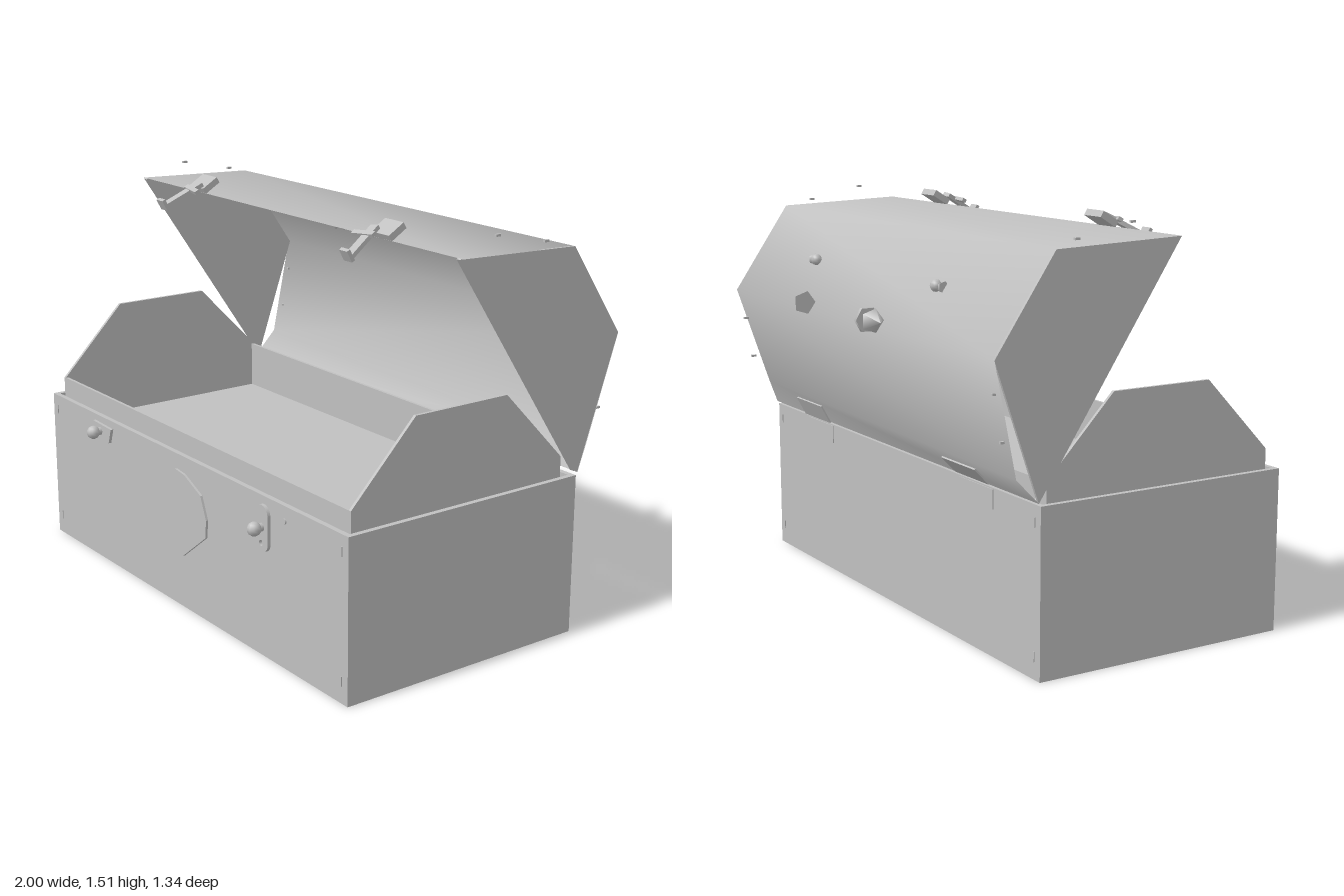
import * as THREE from 'three';

export function createModel() {
  const model = new THREE.Group();
  const metal = new THREE.MeshStandardMaterial({ color: 0xc0c0c0, side: THREE.DoubleSide });
  metal.name = 'grey metal';

  const add = (name, geo, x = 0, y = 0, z = 0, parent = model) => {
    const mesh = new THREE.Mesh(geo, metal);
    mesh.name = name;
    mesh.position.set(x, y, z);
    parent.add(mesh);
    return mesh;
  };
  const box = (name, w, h, d, x, y, z, parent) => add(name, new THREE.BoxGeometry(w, h, d), x, y, z, parent);
  const shapeOf = pts => new THREE.Shape(pts.map(p => new THREE.Vector2(...p)));
  const extrude = (shape, depth) => new THREE.ExtrudeGeometry(shape, { depth, bevelEnabled: false });
  // Upright panel from a (z, y) outline, centred on its own thickness
  const sidePanel = (pts, t) => extrude(shapeOf(pts), t).translate(0, 0, -t / 2).rotateY(-Math.PI / 2);

  // Lower box: four walls and a base
  const rim = shapeOf([[-1, -0.605], [1, -0.605], [1, 0.405], [-1, 0.405]]);
  rim.holes.push(new THREE.Path([[-0.98, -0.585], [-0.98, 0.385], [0.98, 0.385], [0.98, -0.585]]
    .map(p => new THREE.Vector2(...p))));
  add('boxWalls', extrude(rim, 0.6).rotateX(-Math.PI / 2));
  box('boxBase', 1.98, 0.02, 0.99, 0, 0.01, 0.1);

  // Inner tray with tall clipped ends
  const trayEnd = [[0.57, 0.48], [0.57, 0.67], [0.305, 0.943], [-0.095, 0.943], [-0.36, 0.67], [-0.36, 0.48]];
  for (const s of [-1, 1]) add('trayEnd', sidePanel(trayEnd, 0.012), s * 0.96);
  box('trayFront', 1.92, 0.19, 0.012, 0, 0.575, 0.564);
  box('trayBack', 1.92, 0.19, 0.012, 0, 0.575, -0.354);
  box('trayFloor', 1.92, 0.012, 0.93, 0, 0.48, 0.105);

  // Open lid: smooth shell lofted between its two ends, bulging lower down at the right end
  const top = [[0.148, 1.447], [-0.352, 1.43], [-0.582, 1.095]];
  const rightEnd = [...top, [-0.5, 0.7], [-0.412, 0.61]];
  const leftEnd = [...top, [-0.446, 0.7], [-0.412, 0.61]];
  const pos = [], idx = [];
  rightEnd.forEach(([z, y], i) => {
    pos.push(-1, y, z, 1, leftEnd[i][1], leftEnd[i][0]);
    if (i) {
      const a = 2 * i - 2;
      idx.push(a, a + 2, a + 1, a + 1, a + 2, a + 3);
    }
  });
  const shell = new THREE.BufferGeometry();
  shell.setAttribute('position', new THREE.Float32BufferAttribute(pos, 3));
  shell.setIndex(idx);
  // Shell faces outward (up and back)
  shell.setIndex(idx.map((_, i) => idx[i - (i % 3) + [0, 2, 1][i % 3]]));
  shell.computeVertexNormals();
  add('lidShell', shell);
  add('lidRightEnd', sidePanel([...top, [-0.412, 0.61]], 0.01), -0.994);
  add('lidLeftEnd', sidePanel([...top, [-0.412, 0.61]], 0.01), 0.994);

  // Folded edges along the lid opening
  for (const s of [-1, 1]) {
    const edge = box('lidSideEdge', 0.02, 1.0, 0.008, s * 0.98, 1.03, -0.13);
    edge.rotation.x = Math.atan2(0.56, 0.837);
  }

  // Lid latches: block, arm and hooked tip
  for (const s of [-1, 1]) {
    const latch = new THREE.Group();
    latch.name = 'lidLatch';
    const block = box('latchBlock', 0.1, 0.025, 0.075, s * 0.58, 1.475, 0.12, latch);
    block.rotation.x = 0.55;
    const arm = box('latchArm', 0.035, 0.016, 0.17, s * 0.57, 1.445, 0.225, latch);
    arm.rotation.set(0.5, s * 0.25, 0);
    const wing = box('latchWing', 0.1, 0.014, 0.02, s * 0.545, 1.465, 0.2, latch);
    wing.rotation.set(0.5, s * 0.15, 0);
    const hook = box('latchHook', 0.045, 0.045, 0.014, s * 0.59, 1.412, 0.305, latch);
    hook.rotation.x = 0.5;
    model.add(latch);
  }

  // Lid handle mounts: small knobs above, pointed studs below
  for (const s of [-1, 1]) {
    add('handleKnob', new THREE.SphereGeometry(0.022, 8, 6), s * 0.46, 1.265, -0.48);
    const tip = add('handleKnobTip', new THREE.ConeGeometry(0.022, 0.06, 5), s * 0.47, 1.262, -0.472);
    tip.rotation.z = s * Math.PI / 2;
    const stud = add('handleStud', new THREE.ConeGeometry(0.045, 0.06, 5), s * 0.3, 1.13, -0.625);
    stud.rotation.z = -s * Math.PI / 2;
    if (s < 0) stud.rotation.z = Math.PI / 2;
  }
  const disc = add('handleDisc', new THREE.CylinderGeometry(0.047, 0.047, 0.014, 6), -0.23, 1.13, -0.625);
  disc.rotation.z = Math.PI / 2;

  // Front emblem plate
  const plate = [[0, 0.21], [0.158, 0.33], [0.165, 0.4], [0.13, 0.485], [0.02, 0.535],
    [-0.04, 0.542], [-0.125, 0.485], [-0.155, 0.41], [-0.165, 0.34]];
  add('frontPlate', extrude(shapeOf(plate), 0.009), 0, 0, 0.605);

  // Front catches: tapered plate on the right, rounded plate on the left
  add('rightCatchPlate', extrude(shapeOf([[-0.68, 0.55], [-0.65, 0.515], [-0.53, 0.51], [-0.51, 0.57], [-0.65, 0.575]]), 0.012), 0, 0, 0.605);
  const slot = new THREE.Shape();
  slot.absarc(0.525, 0.535, 0.036, 0, Math.PI);
  slot.absarc(0.525, 0.435, 0.036, Math.PI, 2 * Math.PI);
  slot.closePath();
  slot.holes.push(new THREE.Path().absarc(0.52, 0.43, 0.011, 0, Math.PI * 2, true));
  add('leftCatchPlate', extrude(slot, 0.012), 0, 0, 0.605);
  for (const [x, y] of [[-0.593, 0.545], [0.525, 0.49]]) {
    add('catchStem', new THREE.CylinderGeometry(0.016, 0.016, 0.04, 8).rotateX(Math.PI / 2), x, y, 0.63);
    add('catchKnob', new THREE.SphereGeometry(0.026, 10, 8), x, y, 0.648);
  }
  add('frontRivet', new THREE.CylinderGeometry(0.011, 0.011, 0.006, 10).rotateX(Math.PI / 2), 0.645, 0.545, 0.607);

  for (const s of [-1, 1]) {
    // Hinge leaves on the lid and the back wall
    const leaf = box('hingeLidLeaf', 0.22, 0.08, 0.006, s * 0.6, 0.645, s < 0 ? -0.45 : -0.437);
    leaf.rotation.x = s < 0 ? -0.77 : -0.5;
    box('hingeBoxLeaf', 0.22, 0.07, 0.004, s * 0.6, 0.56, -0.406);
    // Small corner rivets
    for (const y of [0.08, 0.54]) {
      box('boxRivet', 0.006, 0.035, 0.004, s * 0.965, y, 0.606);
      box('boxRivet', 0.006, 0.035, 0.004, s * 0.965, y, -0.406);
    }
    for (const [y, z] of [[1.5, -0.03], [1.455, -0.25], [0.98, -0.56], [0.82, -0.53]])
      box('lidRivet', 0.01, 0.008, 0.02, s * 0.965, y, z);
  }
  return model;
}
